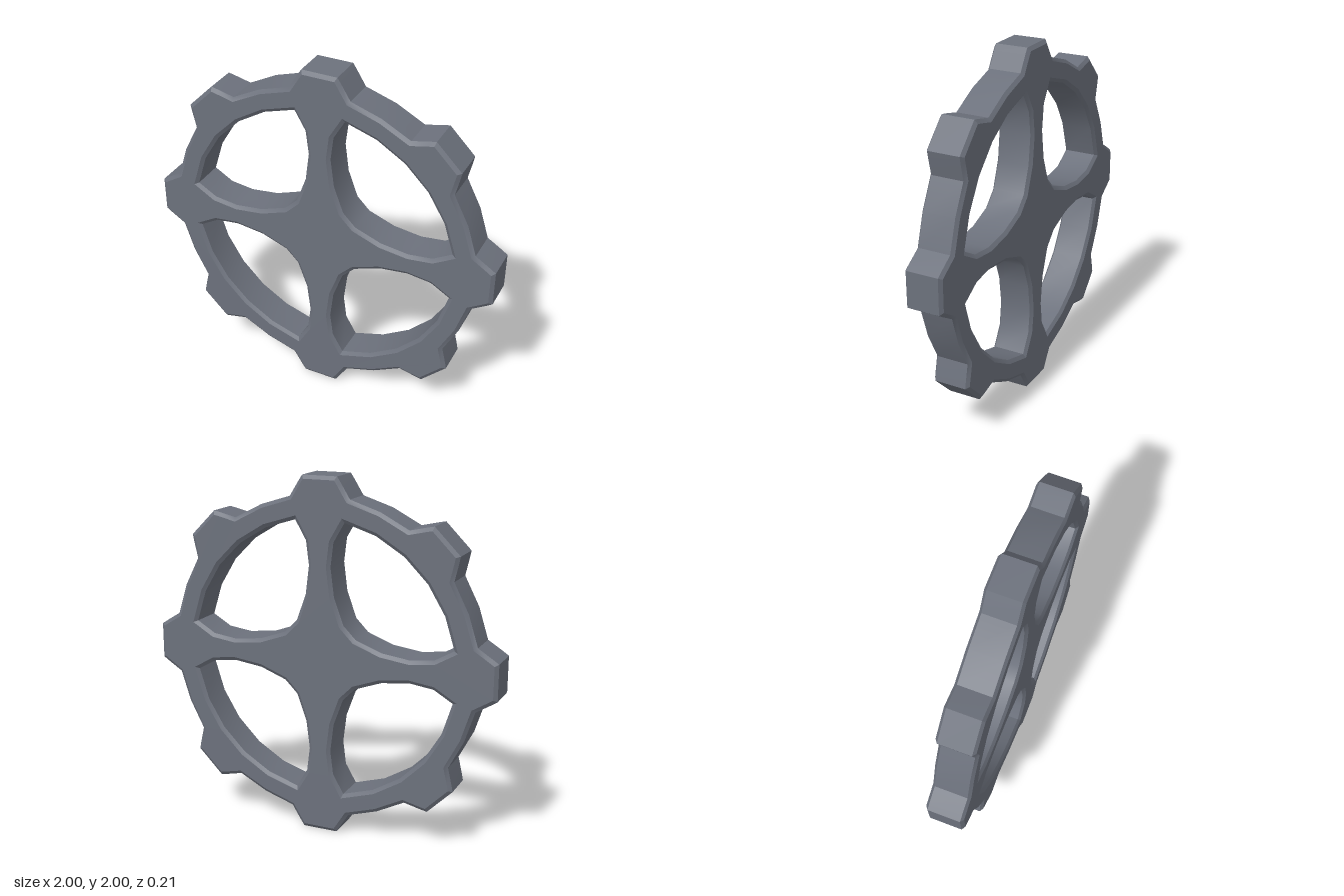
import * as THREE from 'three';
import { toCreasedNormals } from 'three/addons/utils/BufferGeometryUtils.js';

const HALF_DEPTH = 0.105, BEVEL = 0.02, BEVEL_DEPTH = 0.015;

// Clockwise turn of a point about the wheel centre
const turn = ([x, y], a) => new THREE.Vector2(
  x * Math.cos(a) + y * Math.sin(a), y * Math.cos(a) - x * Math.sin(a));

// Outer outline: eight teeth joined by short rim arcs
function rimOutline() {
  const tooth = [[-0.173, 0.885], [-0.122, 0.967], [-0.1, 1], [0.1, 1], [0.122, 0.967], [0.173, 0.885]];
  const points = [];
  for (let i = 0; i < 8; i++) {
    const a = i * Math.PI / 4;
    tooth.forEach(p => points.push(turn(p, a)));
    points.push(turn([0, 0.899], a + Math.PI / 8));
  }
  return points;
}

// One window between two spokes: curved spoke sides and a rim arc
function windowOutline(quarter) {
  const side = [[0.08, 0.655], [0.063, 0.52], [0.083, 0.36], [0.138, 0.21]];
  const points = [...side, ...side.map(([x, y]) => [y, x]).reverse()];
  for (let i = 0; i <= 5; i++) {
    const a = THREE.MathUtils.degToRad(10.6 + i * 58.8 / 5 + 0);
    const angle = a + (i / 5) * THREE.MathUtils.degToRad(10);
    points.push([0.775 * Math.cos(angle), 0.775 * Math.sin(angle)]);
  }
  return points.map(p => turn(p, quarter * Math.PI / 2));
}

export function createModel() {
  const group = new THREE.Group();
  group.name = 'handwheel';
  const metal = new THREE.MeshStandardMaterial({ color: 0x6c717c });
  metal.name = 'grey metal';

  const shape = new THREE.Shape(rimOutline());
  for (let q = 0; q < 4; q++) shape.holes.push(new THREE.Path(windowOutline(q)));

  // Bevel is cut inward so the outline stays at full size
  const depth = 2 * (HALF_DEPTH - BEVEL_DEPTH);
  const geometry = new THREE.ExtrudeGeometry(shape, {
    depth, bevelEnabled: true, bevelSegments: 1,
    bevelSize: BEVEL, bevelOffset: -BEVEL, bevelThickness: BEVEL_DEPTH,
  });
  geometry.translate(0, 1, -depth / 2);

  const wheel = new THREE.Mesh(toCreasedNormals(geometry, 0.5), metal);
  wheel.name = 'toothedSpokedWheel';
  group.add(wheel);
  return group;
}
